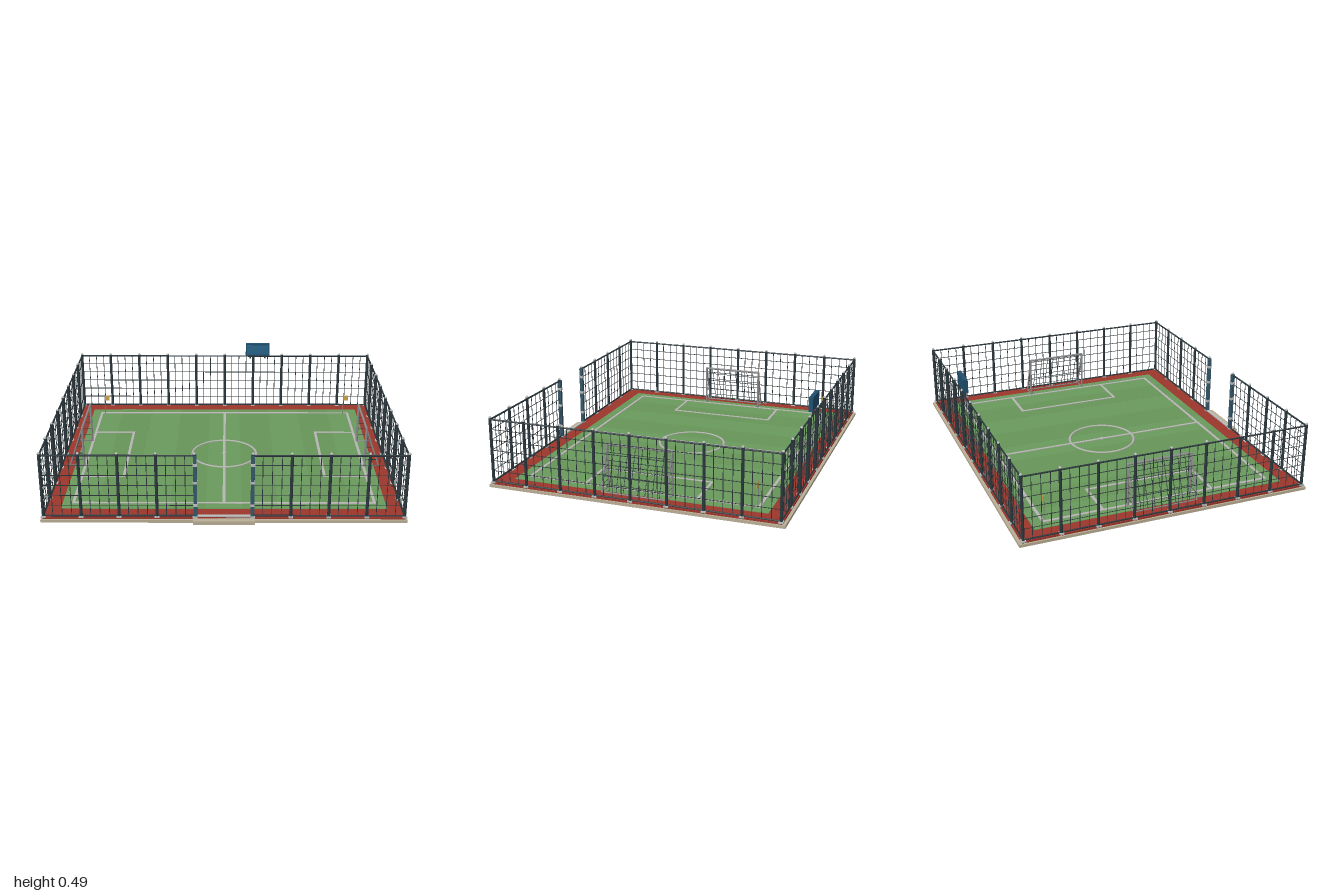
import * as THREE from 'three';
import { mergeGeometries } from 'three/addons/utils/BufferGeometryUtils.js';

const mat = (color) => new THREE.MeshStandardMaterial({ color });
const STEEL = mat(0x2b383e), WIRE = mat(0x333d41), GATE = mat(0x35586a), CAP = mat(0xb9bdbb);
const CONCRETE = mat(0xb9ad94), RED = mat(0x9c362c), LINE = mat(0xb8b4b4), NAVY = mat(0x1f4f6e);
const TURF = [mat(0x6a9a5c), mat(0x669558)];
const FRAME = mat(0x8c8c8c), YELLOW = mat(0xc9a54a), DISPLAY = mat(0x27648a);

const XF = 0.985, ZF = 0.81, ZB = -0.83, ZC = -0.01; // fence lines and pitch centre
const Y0 = 0.027, TOP = 0.395;

// Box given by its minimum and maximum corners
function box(x0, x1, y0, y1, z0, z1) {
  return new THREE.BoxGeometry(x1 - x0, y1 - y0, z1 - z0)
    .translate((x0 + x1) / 2, (y0 + y1) / 2, (z0 + z1) / 2);
}

// Round bar between two points
function bar(a, b, r, sides = 6) {
  const p = new THREE.Vector3(...a), d = new THREE.Vector3(...b).sub(p);
  const q = new THREE.Quaternion().setFromUnitVectors(new THREE.Vector3(0, 1, 0), d.clone().normalize());
  return new THREE.CylinderGeometry(r, r, d.length(), sides)
    .applyQuaternion(q).translate(p.x + d.x / 2, p.y + d.y / 2, p.z + d.z / 2);
}

function add(parent, name, geometry, material) {
  const mesh = new THREE.Mesh(Array.isArray(geometry) ? mergeGeometries(geometry) : geometry, material);
  mesh.name = name;
  parent.add(mesh);
  return mesh;
}

// Straight fence run from a to b ([x, z]) split into equal panels
function fence(name, a, b, panels) {
  const g = new THREE.Group();
  g.name = name;
  const at = (t, y) => [a[0] + (b[0] - a[0]) * t, y, a[1] + (b[1] - a[1]) * t];
  const posts = [], caps = [], wires = [], rails = [], brackets = [];
  for (let i = 0; i <= panels; i++) {
    const t = i / panels, [x, , z] = at(t, 0);
    posts.push(bar(at(t, 0.018), at(t, TOP + 0.006), 0.0085, 8));
    caps.push(new THREE.SphereGeometry(0.0085, 8, 6).translate(x, TOP + 0.008, z));
    brackets.push(box(x - 0.013, x + 0.013, Y0 - 0.004, Y0 + 0.005, z - 0.013, z + 0.013));
    if (i < panels)
      for (let k = 1; k < 4; k++) {
        const u = t + k / 4 / panels;
        wires.push(bar(at(u, Y0 + 0.008), at(u, TOP), 0.0021, 4));
      }
  }
  for (let k = 1; k < 6; k++) {
    const y = Y0 + 0.008 + (TOP - Y0 - 0.008) * k / 6;
    wires.push(bar(at(0, y), at(1, y), 0.0021, 4));
  }
  for (const y of [Y0 + 0.006, TOP - 0.003]) rails.push(bar(at(0, y), at(1, y), 0.005, 6));
  add(g, 'fencePosts', posts, STEEL);
  add(g, 'postCaps', caps, CAP);
  add(g, 'postFeet', brackets, CAP);
  add(g, 'fenceRails', rails, STEEL);
  add(g, 'fenceWires', wires, WIRE);
  return g;
}

// Goal at side s: upright front frame, sloping back stays and a net
function goal(s) {
  const g = new THREE.Group();
  g.name = s > 0 ? 'leftGoal' : 'rightGoal';
  const xf = s * 0.85, xb = s * 0.935, yb = 0.035, yt = 0.28, z0 = -0.197, z1 = 0.177;
  const frame = [bar([xf, yt, z0], [xf, yt, z1], 0.007, 8), bar([xb, yb, z0], [xb, yb, z1], 0.004)];
  const net = [];
  for (const z of [z0, z1]) {
    frame.push(bar([xf, Y0, z], [xf, yt, z], 0.007, 8));
    frame.push(bar([xf, yt, z], [xb, yb, z], 0.005));
    frame.push(bar([xf, yb, z], [xb, yb, z], 0.004));
    frame.push(new THREE.SphereGeometry(0.007, 8, 6).translate(xf, yt, z));
  }
  for (let i = 1; i < 9; i++) {
    const z = z0 + (z1 - z0) * i / 9;
    net.push(bar([xf, yt, z], [xb, yb, z], 0.0018, 4));
  }
  for (let i = 1; i < 6; i++) {
    const x = xf + (xb - xf) * i / 6, y = yt + (yb - yt) * i / 6;
    net.push(bar([x, y, z0], [x, y, z1], 0.0018, 4));
    for (const z of [z0, z1]) net.push(bar([xf, y, z], [x, y, z], 0.0018, 4));
  }
  add(g, 'goalFrame', frame, FRAME);
  add(g, 'goalNet', net, WIRE);
  return g;
}

export function createModel() {
  const model = new THREE.Group();
  model.name = 'sportsCourt';

  // Slab, running surface and entrance step
  add(model, 'slab', box(-1, 1, 0, 0.016, -0.855, 0.832), CONCRETE);
  add(model, 'redSurround', box(-0.99, 0.99, 0.016, Y0, -0.838, 0.818), RED);
  add(model, 'entranceStep', box(-0.168, 0.168, 0, 0.02, 0.81, 0.855), CONCRETE);

  // Mown turf strips
  const strips = 9, w = 1.81 / strips;
  for (let i = 0; i < strips; i++)
    add(model, 'turfStrip', box(-0.905 + i * w, -0.905 + (i + 1) * w, 0.02, 0.0295 + (i % 2) * 0.0005, -0.743, 0.722), TURF[i % 2]);

  // Pitch markings
  const h = 0.008, marks = [];
  const mark = (x0, x1, z0, z1) => marks.push(box(x0 - h, x1 + h, 0.028, 0.0325, z0 - h, z1 + h));
  for (const z of [-0.677, 0.657]) mark(-0.843, 0.843, z, z);
  for (const x of [-0.843, 0, 0.843]) mark(x, x, -0.677, 0.657);
  for (const s of [-1, 1]) {
    mark(s * 0.595, s * 0.595, -0.338, 0.317);
    for (const z of [-0.338, 0.317]) mark(Math.min(s * 0.595, s * 0.843), Math.max(s * 0.595, s * 0.843), z, z);
  }
  add(model, 'pitchLines', marks, LINE);
  const circle = add(model, 'centreCircle', new THREE.TorusGeometry(0.199, 0.008, 6, 48).rotateX(Math.PI / 2), LINE);
  circle.scale.y = 0.6;
  circle.position.set(0, 0.03, ZC);
  add(model, 'centreSpot', new THREE.CylinderGeometry(0.014, 0.014, 0.006, 16).translate(0, 0.0305, ZC), LINE);

  // Fences, with an opening at the front
  model.add(
    fence('backFence', [-XF, ZB], [XF, ZB], 10),
    fence('leftFence', [XF, ZB], [XF, ZF], 8),
    fence('rightFence', [-XF, ZB], [-XF, ZF], 8),
    fence('frontFenceRight', [-XF, ZF], [-0.157, ZF], 4),
    fence('frontFenceLeft', [0.157, ZF], [XF, ZF], 4));

  // Gate posts with hinges, and threshold
  for (const s of [-1, 1]) {
    const x = s * 0.155;
    add(model, 'gatePost', box(x - 0.01, x + 0.01, 0.018, TOP, ZF - 0.01, ZF + 0.01), GATE);
    add(model, 'gateHinges', [0.1, 0.235, 0.34].map((y) => box(x - 0.012, x + 0.012, y - 0.008, y + 0.008, ZF - 0.012, ZF + 0.012)), CAP);
  }
  add(model, 'gateThreshold', box(-0.15, 0.15, 0.02, 0.034, ZF - 0.008, ZF + 0.008), CAP);

  model.add(goal(-1), goal(1));

  // Flags at the back corners
  for (const x of [-0.82, 0.812]) {
    add(model, 'cornerFlagPole', bar([x, Y0, -0.662], [x, 0.166, -0.662], 0.0025), FRAME);
    add(model, 'cornerFlag', box(x, x + 0.032, 0.128, 0.164, -0.6635, -0.6605), YELLOW);
  }

  // Scoreboard above the back fence
  add(model, 'scoreboard', box(0.145, 0.308, 0.404, 0.487, -0.827, -0.803), NAVY);
  add(model, 'scoreboardDisplay', box(0.153, 0.3, 0.412, 0.479, -0.804, -0.801), DISPLAY);
  add(model, 'scoreboardSupports', [0.175, 0.278].map((x) => box(x - 0.005, x + 0.005, 0.38, 0.41, -0.83, -0.818)), STEEL);

  return model;
}
